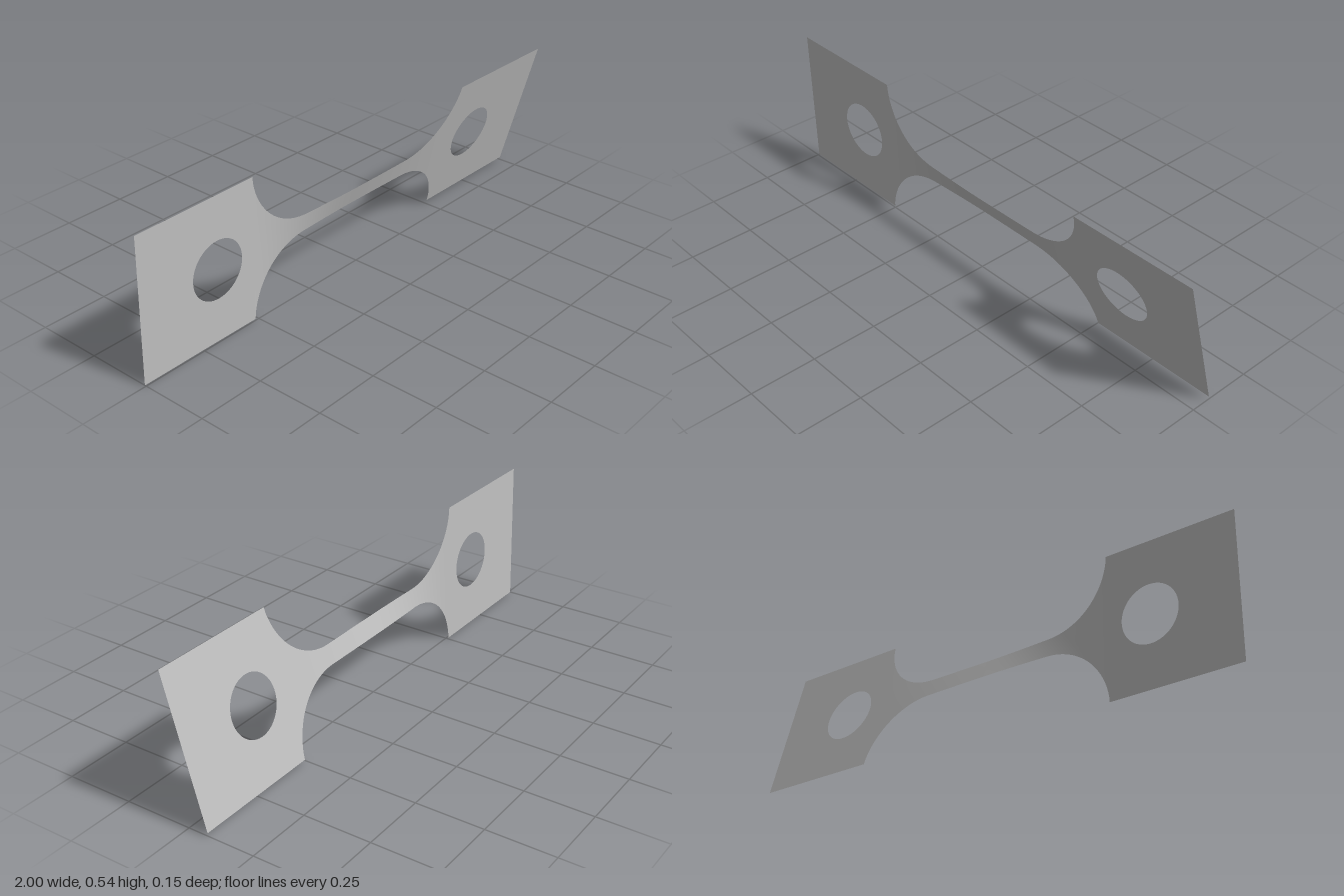
import * as THREE from 'three';

const MID = 0.27;      // height of the long axis, also half the plate height
const JOIN = 0.51;     // where each end plate meets the neck
const RADIUS = 0.25;   // fillet radius
const NECK = 0.036;    // half height of the neck
const FILLET_X = 0.26; // fillet centre

// Twist about the long axis, in radians
function twistAt(x) {
  const degrees = 1
    + 19 * THREE.MathUtils.smoothstep(x, -0.55, 0)
    - 4 * THREE.MathUtils.smoothstep(x, 0, JOIN);
  return THREE.MathUtils.degToRad(degrees);
}

// Half height of the neck, including its rounded fillets
function halfHeight(x) {
  const d = Math.abs(x) - FILLET_X;
  if (d <= 0) return NECK;
  if (Math.abs(x) > JOIN - 0.0015) return MID;
  return Math.min(MID, NECK + RADIUS - Math.sqrt(Math.max(0, RADIUS * RADIUS - d * d)));
}

// Swing every vertex about the long axis by the local twist
function twist(geometry) {
  const p = geometry.attributes.position;
  for (let i = 0; i < p.count; i++) {
    const x = p.getX(i), v = p.getY(i);
    const a = twistAt(THREE.MathUtils.clamp(x, -JOIN, JOIN));
    p.setXYZ(i, x, MID + v * Math.cos(a), v * Math.sin(a));
  }
  geometry.computeVertexNormals();
  return geometry;
}

// Rectangular plate with a round hole
function plateGeometry(x0, x1, holeX) {
  const shape = new THREE.Shape([
    new THREE.Vector2(x0, -MID), new THREE.Vector2(x1, -MID),
    new THREE.Vector2(x1, MID), new THREE.Vector2(x0, MID),
  ]);
  const hole = new THREE.Path();
  hole.absarc(holeX, 0, 0.108, 0, Math.PI * 2, true);
  shape.holes.push(hole);
  return twist(new THREE.ShapeGeometry(shape, 32));
}

// Waisted strip, with columns crowded towards the steep ends of the fillets
function neckGeometry() {
  const geometry = new THREE.PlaneGeometry(2, 2, 96, 6);
  const p = geometry.attributes.position;
  for (let i = 0; i < p.count; i++) {
    const x = JOIN * Math.sin(p.getX(i) * Math.PI / 2);
    p.setXY(i, x, p.getY(i) * halfHeight(x));
  }
  return twist(geometry);
}

export function createModel() {
  const group = new THREE.Group();
  group.name = 'twistedSheetSpecimen';
  const metal = new THREE.MeshStandardMaterial({ color: 0xc0c0c0, side: THREE.DoubleSide });
  metal.name = 'grey metal';

  const add = (name, geometry) => {
    const mesh = new THREE.Mesh(geometry, metal);
    mesh.name = name;
    group.add(mesh);
  };
  add('rightPlate', plateGeometry(-1, -JOIN, -0.672));
  add('leftPlate', plateGeometry(JOIN, 1, 0.668));
  add('twistedNeck', neckGeometry());
  return group;
}
